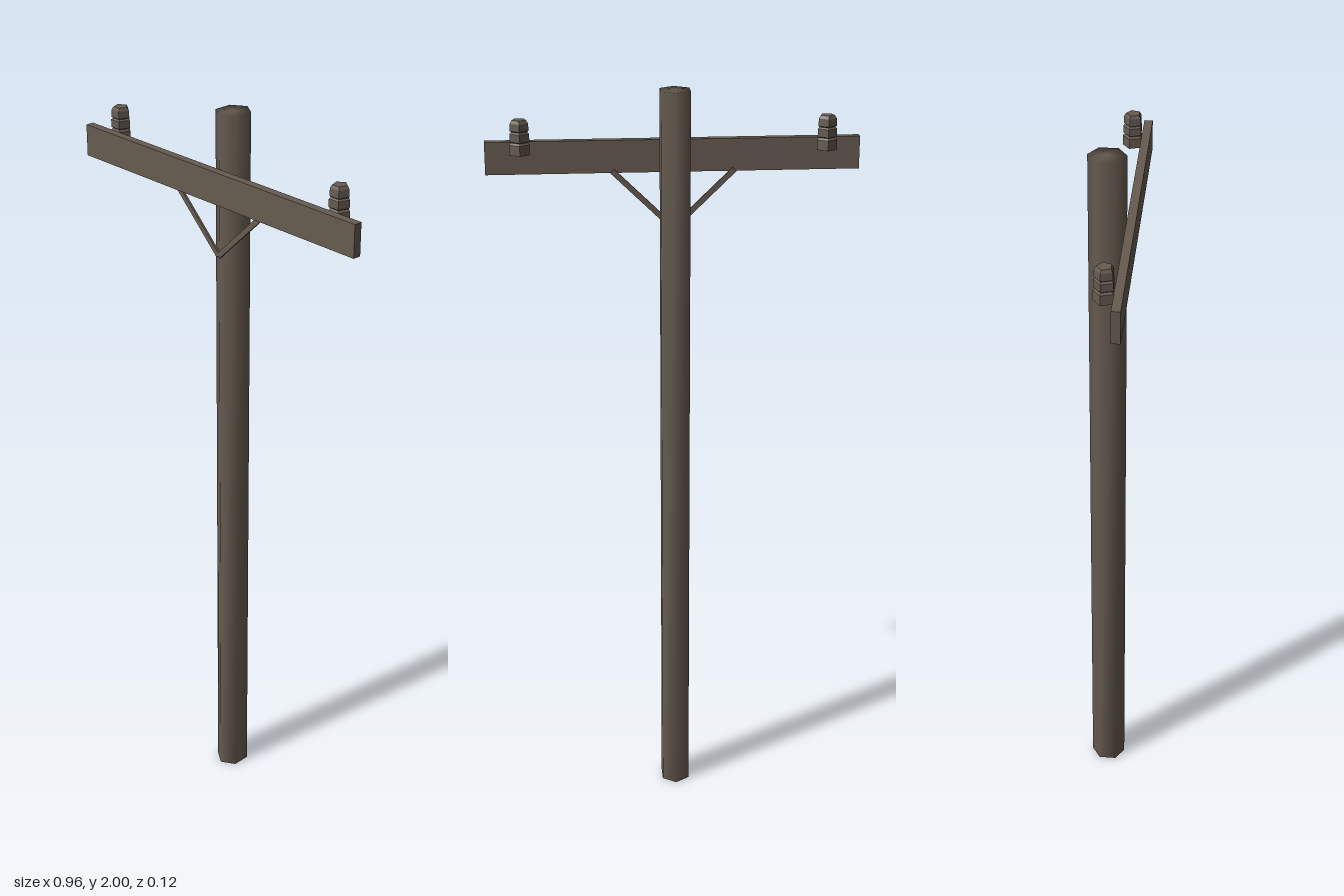
import * as THREE from 'three';
import { mergeVertices } from 'three/addons/utils/BufferGeometryUtils.js';

const wood = new THREE.MeshStandardMaterial({ color: 0x665b50 });
wood.name = 'weatheredWood';

// Weld all corners so caps and sides share soft normals
function soften(geometry) {
  geometry.deleteAttribute('normal');
  geometry.deleteAttribute('uv');
  const welded = mergeVertices(geometry, 1e-4);
  welded.computeVertexNormals();
  return welded;
}

function addPart(group, name, geometry, x, y, z) {
  const mesh = new THREE.Mesh(geometry, wood);
  mesh.name = name;
  mesh.position.set(x, y, z);
  group.add(mesh);
  return mesh;
}

export function createModel() {
  const model = new THREE.Group();
  model.name = 'utilityPole';

  // Six-sided pole with a corner facing front, slightly narrow in x
  const pole = new THREE.CylinderGeometry(0.048, 0.048, 2, 6);
  pole.scale(0.9, 1, 1);
  addPart(model, 'pole', soften(pole), 0, 1, -0.0135);

  // Crossbar in front of the pole
  addPart(model, 'crossbar', new THREE.BoxGeometry(0.96, 0.084, 0.022), 0, 1.822, 0.05);

  // Ribbed five-sided insulator profile: radius, height
  const profile = [
    [0, 0], [0.027, 0], [0.027, 0.026], [0.022, 0.031],
    [0.026, 0.034], [0.026, 0.054], [0.021, 0.058],
    [0.025, 0.061], [0.024, 0.08], [0.019, 0.088], [0, 0.088],
  ].map(([r, y]) => new THREE.Vector2(r, y));

  for (const side of [-1, 1]) {
    const label = side > 0 ? 'left' : 'right';

    // Diagonal brace from the pole up to the crossbar
    const dx = 0.157, dy = 0.152;
    const brace = addPart(model, label + 'Brace',
      new THREE.BoxGeometry(Math.hypot(dx, dy), 0.014, 0.006), side * dx / 2, 1.633 + dy / 2, 0.036);
    brace.rotation.z = side * Math.atan2(dy, dx);

    // Insulator behind the bar, one corner pointing back
    const insulator = new THREE.LatheGeometry(profile, 5, Math.PI);
    addPart(model, label + 'Insulator', insulator.toNonIndexed(), side * 0.39, 1.837, 0.017);
    model.children.at(-1).geometry.computeVertexNormals();
  }
  return model;
}
